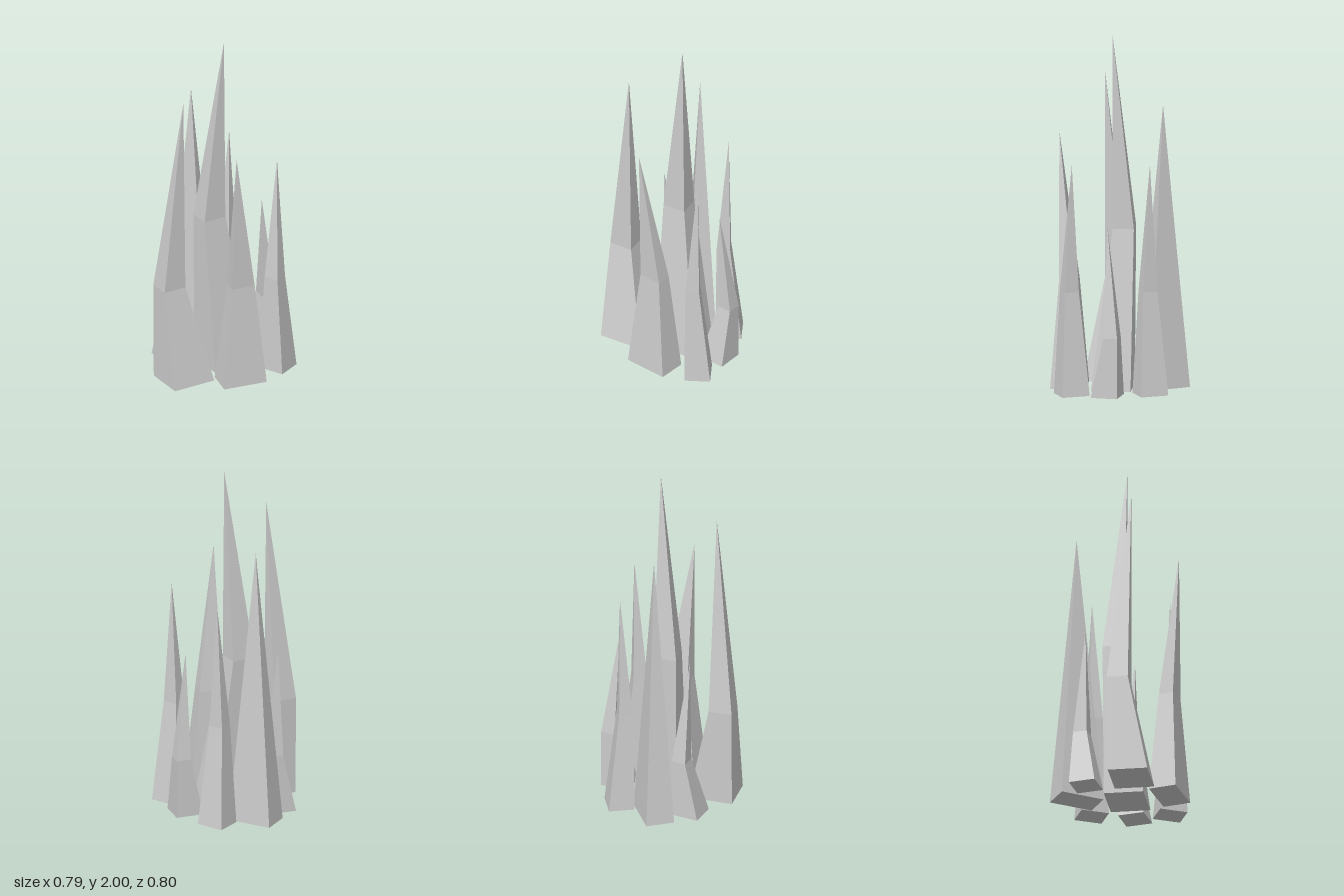
import * as THREE from 'three';

const material = new THREE.MeshStandardMaterial({ color: 0xcccccc, flatShading: true });
const MID_SCALE = 0.53;

// Spike: parallelogram foot, smaller offset ring part-way up, then a sharp tip.
// foot / mid are ring centres [x, z]; u / v are the foot's half edges [x, z].
function spike({ name, foot, u, v, mid, midY, tip }) {
  const ring = ([cx, cz], y, k) => [[-1, -1], [1, -1], [1, 1], [-1, 1]].map(([a, b]) =>
    [cx + k * (a * u[0] + b * v[0]), y, cz + k * (a * u[1] + b * v[1])]);
  const low = ring(foot, 0, 1);
  const high = ring(mid, midY, MID_SCALE);
  const points = [low[0], low[1], low[2], low[0], low[2], low[3]]; // underside
  for (let i = 0; i < 4; i++) {
    const j = (i + 1) % 4;
    points.push(low[j], low[i], high[i], low[j], high[i], high[j]); // lower flank
    points.push(high[j], high[i], tip); // upper facet
  }
  const geometry = new THREE.BufferGeometry();
  geometry.setAttribute('position', new THREE.Float32BufferAttribute(points.flat(), 3));
  geometry.computeVertexNormals();
  const mesh = new THREE.Mesh(geometry, material);
  mesh.name = name;
  return mesh;
}

// Foot outlines shared by spikes of the same kind
const large = { u: [0.07, -0.105], v: [0.094, 0.0585] };
const small = { u: [0.053, -0.0575], v: [0.0555, 0.05], midY: 0.34 };
const medium = { u: [0.079, 0.0097], v: [-0.0096, 0.0713], midY: 0.58 };

const spikes = [
  { name: 'centreSpike', ...large, foot: [0.011, -0.06], mid: [-0.073, -0.04], midY: 0.9, tip: [0.01, 2, -0.055] },
  { name: 'frontSpike', ...large, foot: [-0.099, 0.231], mid: [-0.18, 0.25], midY: 0.57, tip: [-0.1, 1.73, 0.237] },
  { name: 'rightSmallSpike', ...small, foot: [-0.283, 0.032], mid: [-0.283, -0.019], tip: [-0.284, 0.95, 0.03] },
  { name: 'backLeftSmallSpike', ...small, foot: [0.149, -0.253], mid: [0.147, -0.304], tip: [0.148, 0.95, -0.253] },
  { name: 'backSpike', ...medium, foot: [-0.086, -0.321], mid: [-0.087, -0.291], tip: [-0.085, 1.3, -0.318] },
  { name: 'leftSpike', ...medium, foot: [0.305, -0.126], mid: [0.304, -0.096], tip: [0.304, 1.3, -0.124] },
  { name: 'frontLeftSpike', u: [0.087, -0.0915], v: [0.056, 0.055],
    foot: [0.1925, 0.11], mid: [0.194, 0.11], midY: 0.6, tip: [0.21, 1.43, 0.198] },
  { name: 'backRightWideSpike', u: [0.1275, 0], v: [0, 0.08],
    foot: [-0.2475, -0.168], mid: [-0.2475, -0.168], midY: 0.75, tip: [-0.248, 1.6, -0.168] },
];

export function createModel() {
  const group = new THREE.Group();
  group.name = 'spikeCluster';
  for (const s of spikes) group.add(spike(s));
  return group;
}
